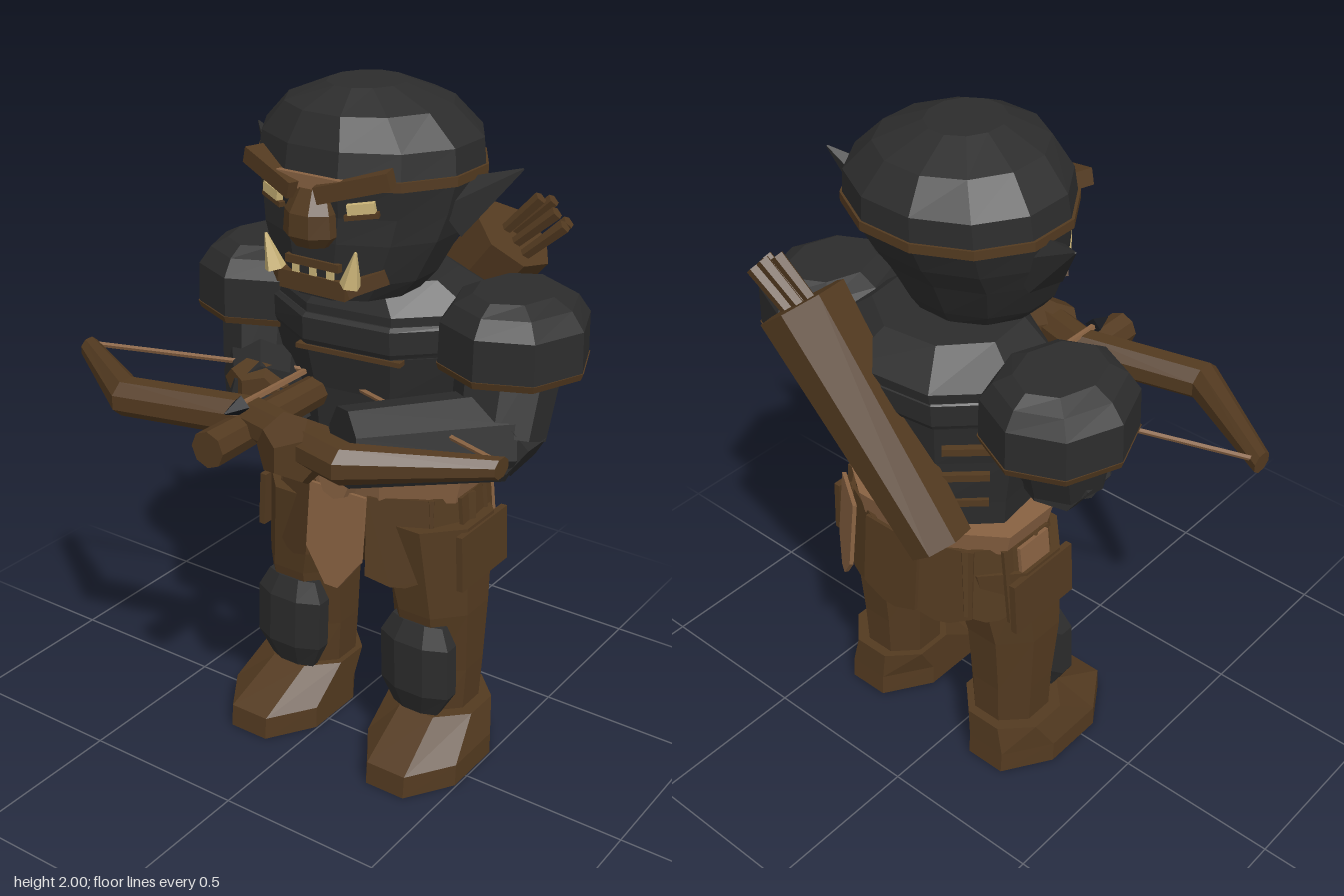
import * as THREE from 'three';

const mat = (name, color) => Object.assign(new THREE.MeshStandardMaterial({ color }), { name });
const V = (p) => new THREE.Vector3(...p);

export function createModel() {
  const root = new THREE.Group();
  root.name = 'crossbowGoblin';
  const black = mat('charcoal skin and armour', 0x2c2c2c);
  const brown = mat('brown leather', 0x533a20);
  const tan = mat('tan leather', 0x886242);
  const ivory = mat('ivory', 0xcdb679);
  const steel = mat('dark steel', 0x181b20);

  // Body parts are symmetric about this group; the weapon sits in the root.
  const body = new THREE.Group();
  body.name = 'body';
  body.position.x = 0.09;
  root.add(body);

  // The chest is turned slightly towards the weapon hand
  const chest = new THREE.Group();
  chest.name = 'chest';
  chest.position.x = 0.015;
  chest.rotation.y = 0.12;
  body.add(chest);

  const add = (parent, name, geo, material) => {
    const g = geo.index ? geo.toNonIndexed() : geo;
    g.computeVertexNormals(); // faceted look
    const m = new THREE.Mesh(g, material);
    m.name = name;
    parent.add(m);
    return m;
  };

  // Stacked polygon rings, bottom to top: [y, cx, cz, rx, rz]; phase 0.5 puts flats on the axes
  const loft = (parent, name, material, rings, n = 8, phase = 0.5) => {
    const pos = [], idx = [], k = phase ? 1 / Math.cos(Math.PI / n) : 1;
    for (const [y, cx, cz, rx, rz] of rings) {
      for (let i = 0; i < n; i++) {
        const a = ((i + phase) / n) * Math.PI * 2;
        pos.push(cx + rx * k * Math.sin(a), y, cz + rz * k * Math.cos(a));
      }
    }
    const last = rings.length - 1;
    for (let r = 0; r < last; r++) {
      for (let i = 0; i < n; i++) {
        const j = (i + 1) % n, a = r * n, b = a + n;
        idx.push(a + i, a + j, b + j, a + i, b + j, b + i);
      }
    }
    for (let i = 1; i < n - 1; i++) {
      idx.push(0, i + 1, i, last * n, last * n + i, last * n + i + 1);
    }
    const g = new THREE.BufferGeometry();
    g.setAttribute('position', new THREE.Float32BufferAttribute(pos, 3));
    g.setIndex(idx);
    return add(parent, name, g, material);
  };

  // Tapered rod between two points
  const rod = (parent, name, material, p, q, r0, r1, n = 6) => {
    const a = V(p), b = V(q), d = b.clone().sub(a);
    const m = add(parent, name, new THREE.CylinderGeometry(r1, r0, d.length(), n), material);
    m.position.copy(a).add(b).multiplyScalar(0.5);
    m.quaternion.setFromUnitVectors(new THREE.Vector3(0, 1, 0), d.normalize());
  };

  const box = (parent, name, material, size, p, rot = [0, 0, 0]) => {
    const m = add(parent, name, new THREE.BoxGeometry(...size), material);
    m.position.set(...p);
    m.rotation.set(...rot, 'YXZ');
  };

  const ball = (name, material, p, scale) => {
    const m = add(root, name, new THREE.DodecahedronGeometry(1), material);
    m.position.set(...p);
    m.scale.set(...scale);
  };

  // Hanging cloth or leather panel placed around the hips
  const panel = (name, material, a, w, h, point, out) => {
    const s = new THREE.Shape();
    s.moveTo(-w / 2, 0).lineTo(-w / 2, -h + point).lineTo(-w * 0.12, -h);
    s.lineTo(w * 0.12, -h).lineTo(w / 2, -h + point).lineTo(w / 2, 0);
    const m = add(body, name, new THREE.ExtrudeGeometry(s, { depth: 0.012, bevelEnabled: false }), material);
    const rx = 0.285 + out, rz = 0.2 + out;
    m.position.set(rx * Math.sin(a), 0.86, -0.15 + rz * Math.cos(a));
    m.rotation.set(-0.1, Math.atan2(Math.sin(a) / rx, Math.cos(a) / rz), 0, 'YXZ');
  };

  // Head
  loft(body, 'head', black, [
    [1.47, 0, 0.005, 0.18, 0.18], [1.52, 0, -0.005, 0.222, 0.2], [1.63, 0, -0.03, 0.272, 0.228],
    [1.7, 0, -0.055, 0.29, 0.25], [1.79, 0, -0.07, 0.308, 0.277], [1.87, 0, -0.075, 0.298, 0.27],
    [1.95, 0, -0.06, 0.22, 0.22], [2.0, 0, -0.045, 0.1, 0.11]], 12);
  loft(body, 'headband', brown, [[1.777, 0, -0.07, 0.314, 0.283], [1.803, 0, -0.07, 0.314, 0.283]], 12);
  box(body, 'foreheadPlate', tan, [0.2, 0.04, 0.02], [0, 1.785, 0.21]);
  loft(body, 'nose', brown, [[1.62, 0, 0.2, 0.05, 0.04], [1.65, 0, 0.2, 0.075, 0.06],
    [1.71, 0, 0.2, 0.07, 0.058], [1.77, 0, 0.19, 0.045, 0.035]]);
  box(body, 'lowerLip', brown, [0.21, 0.05, 0.04], [0, 1.507, 0.183]);
  box(body, 'upperLip', brown, [0.17, 0.022, 0.03], [0, 1.567, 0.19]);
  for (let i = -1; i <= 1; i++) {
    box(body, 'tooth', ivory, [0.022, 0.022, 0.02], [i * 0.055, 1.543, 0.19]);
  }

  // Torso and chest plate
  loft(chest, 'torso', black, [
    [0.88, 0, -0.155, 0.25, 0.19], [1.0, 0, -0.16, 0.26, 0.195], [1.15, 0, -0.16, 0.28, 0.205],
    [1.28, 0, -0.155, 0.31, 0.225], [1.4, 0, -0.165, 0.31, 0.235], [1.48, 0, -0.13, 0.2, 0.17]]);
  loft(chest, 'chestPlate', black, [[1.285, 0, -0.155, 0.315, 0.232], [1.3, 0, -0.155, 0.32, 0.24],
    [1.365, 0, -0.155, 0.32, 0.243], [1.375, 0, -0.155, 0.31, 0.23]]);
  box(chest, 'chestSeam', brown, [0.32, 0.014, 0.03], [0, 1.273, 0.062]);

  // Hips, belt and hanging cloths
  loft(body, 'hips', brown, [[0.6, 0, -0.14, 0.14, 0.13], [0.72, 0, -0.14, 0.28, 0.19], [0.87, 0, -0.15, 0.29, 0.2]]);
  loft(body, 'belt', tan, [[0.845, 0, -0.15, 0.3, 0.21], [0.92, 0, -0.15, 0.318, 0.222]]);
  rod(body, 'buckle', tan, [0, 0.89, 0.03], [0, 0.89, 0.105], 0.065, 0.05, 8);
  panel('frontLoincloth', tan, 0, 0.19, 0.3, 0.1, 0.025);
  panel('rearHipCloth', tan, 2.4, 0.16, 0.3, 0.08, 0.035);
  panel('sideHipCloth', tan, -Math.PI / 2, 0.12, 0.27, 0.06, 0.03);
  panel('backPanel', brown, Math.PI, 0.2, 0.26, 0.03, 0.02);

  for (const s of [-1, 1]) {
    // Face
    box(body, 'brow', brown, [0.2, 0.045, 0.06], [s * 0.125, 1.79, 0.19], [0, s * 0.3, s * 0.27]);
    box(body, 'eye', ivory, [0.072, 0.027, 0.03], [s * 0.137, 1.733, 0.176], [0, s * 0.4, s * 0.15]);
    box(body, 'eyelid', brown, [0.09, 0.014, 0.03], [s * 0.137, 1.712, 0.173], [0, s * 0.4, s * 0.15]);
    box(body, 'lipCorner', brown, [0.11, 0.04, 0.04], [s * 0.14, 1.53, 0.155], [0, s * 0.65, s * 0.35]);
    rod(body, 'tusk', ivory, [s * 0.12, 1.53, 0.2], [s * 0.143, 1.625, 0.21], 0.03, 0.004, 5);
    rod(body, 'ear', black, [s * 0.255, 1.69, -0.065], [s * 0.425, 1.81, -0.13], 0.085, 0.003, 5);

    // Slits on both sides of the back
    [1.01, 1.11, 1.21].forEach((y, i) => {
      const grow = i * 0.012;
      box(chest, 'backSlit', brown, [0.13, 0.022, 0.03], [s * (0.17 + grow), y, -0.305 - grow], [0, -s * 0.62, 0]);
    });

    // Shoulder armour
    const sx = s * 0.41;
    loft(body, 'shoulderPad', black, [[1.28, sx, -0.155, 0.207, 0.218], [1.4, sx, -0.155, 0.203, 0.216],
      [1.45, sx, -0.155, 0.165, 0.185], [1.478, sx, -0.155, 0.11, 0.14]], 8, 0);
    loft(body, 'shoulderRim', brown, [[1.265, sx, -0.155, 0.203, 0.215], [1.285, sx, -0.155, 0.21, 0.222]], 8, 0);

    // Legs, thigh guards, knee pads and boots
    const lx = s * 0.225;
    loft(body, 'leg', brown, [[0.12, lx, -0.13, 0.11, 0.11], [0.3, lx, -0.13, 0.12, 0.115],
      [0.5, lx, -0.12, 0.129, 0.14], [0.78, s * 0.183, -0.13, 0.163, 0.175]]);
    box(body, 'thighGuard', brown, [0.02, 0.17, 0.25], [s * 0.348, 0.685, -0.14], [0, 0, s * 0.05]);
    loft(body, 'kneePad', black, [[0.17, lx, -0.01, 0.075, 0.03], [0.25, s * 0.23, -0.005, 0.115, 0.055],
      [0.41, lx, -0.005, 0.115, 0.055], [0.47, lx, -0.01, 0.085, 0.03]]);
    loft(body, 'boot', brown, [[0, s * 0.25, -0.04, 0.155, 0.24], [0.07, s * 0.25, -0.04, 0.155, 0.235],
      [0.165, s * 0.235, -0.13, 0.14, 0.14]]);

    // Leather skirt panels
    [[0.62, 0.19, 0.27], [1.2, 0.15, 0.25], [1.62, 0.18, 0.28], [2.1, 0.16, 0.25], [2.6, 0.18, 0.26]]
      .forEach(([a, w, h]) => panel('skirtPanel', brown, s * a, w, h, 0.03, 0.012));
  }

  // Arms: side, shoulder, elbow, wrist
  const arms = [
    ['left', [0.5, 1.36, -0.15], [0.52, 1.1, -0.05], [0.265, 1.13, 0.31]],
    ['right', [-0.31, 1.36, -0.15], [-0.28, 1.1, -0.08], [-0.13, 1.09, 0.12]]];
  for (const [side, shoulder, elbow, wrist] of arms) {
    rod(root, side + 'UpperArm', black, shoulder, elbow, 0.15, 0.13, 8);
    ball(side + 'Elbow', black, elbow, [0.13, 0.12, 0.135]);
    rod(root, side + 'Forearm', black, elbow, wrist, 0.13, 0.11, 8);
  }
  ball('leftGlove', brown, [0.17, 1.13, 0.385], [0.108, 0.1, 0.1]);
  ball('rightHand', black, [-0.09, 1.07, 0.12], [0.1, 0.08, 0.08]);
  ball('rightGlove', brown, [-0.17, 1.14, 0.11], [0.1, 0.065, 0.075]);

  // Crossbow
  const bow = new THREE.Group();
  bow.name = 'crossbow';
  bow.position.set(-0.012, 1.153, 0);
  root.add(bow);
  rod(bow, 'stock', brown, [0, -0.025, 0], [0, -0.025, 0.525], 0.045, 0.052, 8);
  rod(bow, 'bolt', tan, [0, 0.05, 0.1], [0, 0.05, 0.39], 0.01, 0.01, 5);
  rod(bow, 'boltTip', steel, [0, 0.05, 0.38], [0, 0.05, 0.45], 0.028, 0.002, 4);
  const limbs = loft(bow, 'bowLimbs', brown, [
    [-0.698, 0, 0.22, 0.027, 0.034], [-0.365, 0, 0.428, 0.05, 0.057], [0, 0, 0.337, 0.052, 0.056],
    [0.365, 0, 0.428, 0.05, 0.057], [0.698, 0, 0.22, 0.027, 0.034]], 8);
  limbs.rotation.z = -Math.PI / 2;
  for (const s of [-1, 1]) {
    rod(bow, 'string', tan, [s * 0.68, 0.01, 0.21], [0, 0.01, -0.01], 0.008, 0.008, 5);
  }

  // Quiver with arrows
  rod(root, 'quiver', brown, [-0.115, 0.94, -0.395], [0.34, 1.53, -0.415], 0.092, 0.127, 7);
  [[0.03, -0.02], [-0.03, 0.0], [0.03, 0.02], [-0.02, -0.03], [0.0, 0.01]].forEach(([u, w], i) => {
    const base = [0.32 + u, 1.48 - u, -0.4 + w];
    rod(root, 'arrow', brown, base, [0.45 + u * 1.4 + i * 0.005, 1.615 - u, -0.425 + w], 0.016, 0.02, 5);
  });

  return root;
}
